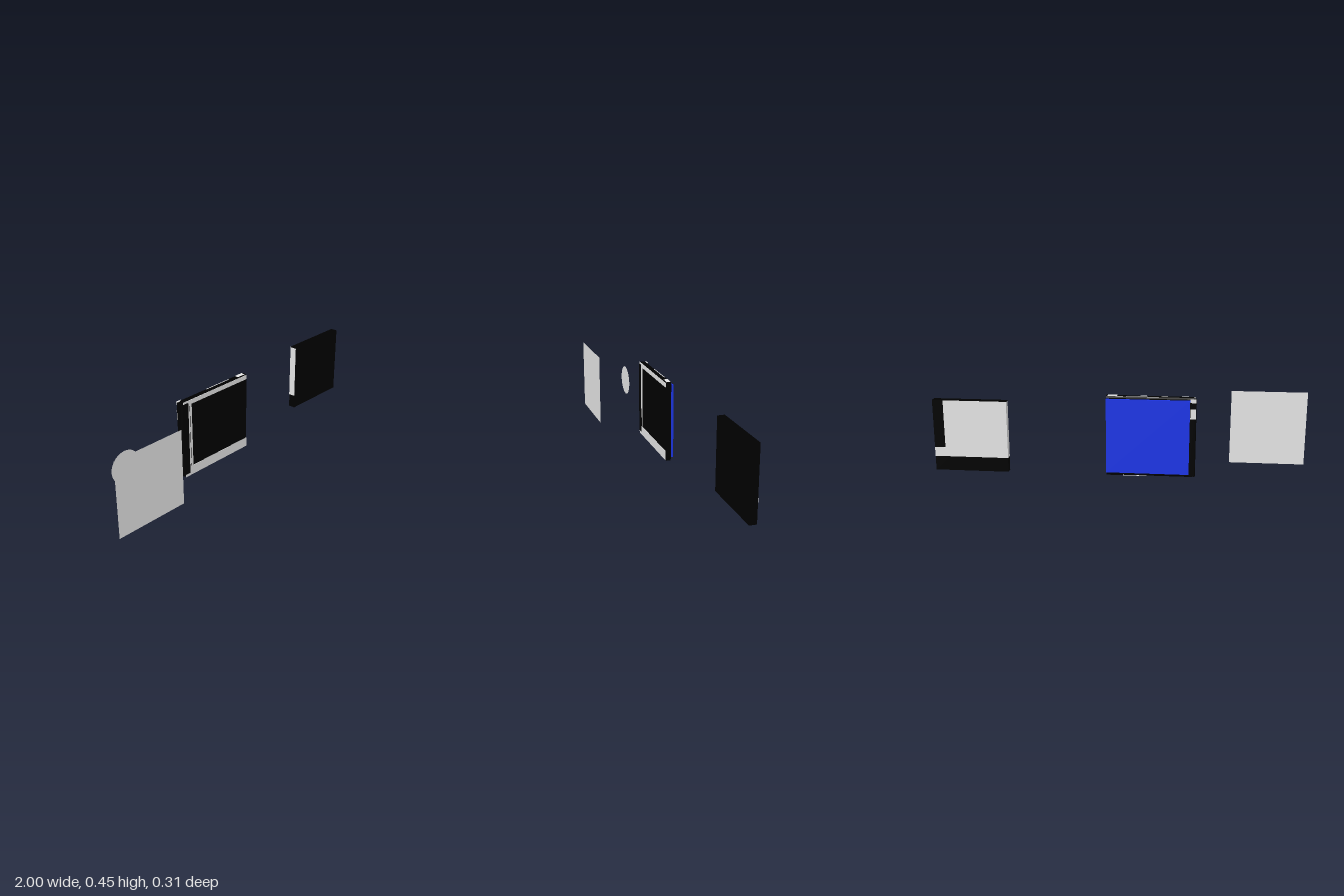
import * as THREE from 'three';

const mat = (name, color, side = THREE.FrontSide) => {
  const m = new THREE.MeshStandardMaterial({ color, side });
  m.name = name;
  return m;
};

export function createModel() {
  const group = new THREE.Group();
  const black = mat('black', 0x000000);
  const blue = mat('blue', 0x1c35e6);
  const grey = mat('light grey', 0xe5e5e5, THREE.DoubleSide);

  const add = (parent, name, geometry, material) => {
    const mesh = new THREE.Mesh(geometry, material);
    mesh.name = name;
    parent.add(mesh);
    return mesh;
  };
  // Box given by its limits on each axis
  const box = (parent, name, material, [x0, x1], [y0, y1], [z0, z1]) => {
    const g = new THREE.BoxGeometry(x1 - x0, y1 - y0, z1 - z0);
    g.translate((x0 + x1) / 2, (y0 + y1) / 2, (z0 + z1) / 2);
    return add(parent, name, g, material);
  };
  const outline = (points) => new THREE.Shape(points.map(([a, b]) => new THREE.Vector2(a, b)));
  const part = (name) => {
    const g = new THREE.Group();
    g.name = name;
    group.add(g);
    return g;
  };

  // Flat square sheet with a disc far behind it
  add(group, 'squareSheet', new THREE.PlaneGeometry(0.412, 0.412), grey).position.set(-0.794, 0.226, 0.155);
  add(group, 'disc', new THREE.CircleGeometry(0.087, 48), grey).position.set(-0.769, 0.225, -0.057);

  // Slim case: cross-section in y and z, run along x
  const device = part('slimCase');
  const section = outline([
    [0.036, 0.005], [0.042, 0.003], [0.065, 0.003], [0.068, 0.012],
    [0.068, 0.433], [0.065, 0.442], [0.042, 0.442], [0.036, 0.44],
  ]);
  const shell = new THREE.ExtrudeGeometry(section, { depth: 0.465, bevelEnabled: false });
  shell.rotateY(Math.PI / 2);
  shell.translate(-0.386, 0, 0);
  add(device, 'caseBody', shell, black);

  // Spine: rounded plan outline in x and z, run along y
  const spinePlan = outline([
    [-0.366, 0.0355], [-0.39, 0.0355], [-0.4, 0.047], [-0.4, 0.074], [-0.396, 0.08], [-0.366, 0.08],
  ]);
  const spine = new THREE.ExtrudeGeometry(spinePlan, { depth: 0.424, bevelEnabled: false });
  spine.rotateX(Math.PI / 2);
  spine.scale(1, 1, -1);
  // Restore the corner order after mirroring
  const corners = spine.attributes.position;
  for (let i = 0; i < corners.count; i += 3) {
    const a = new THREE.Vector3().fromBufferAttribute(corners, i + 1);
    const b = new THREE.Vector3().fromBufferAttribute(corners, i + 2);
    corners.setXYZ(i + 1, b.x, b.y, b.z);
    corners.setXYZ(i + 2, a.x, a.y, a.z);
  }
  spine.computeVertexNormals();
  spine.translate(0, 0.434, 0);
  add(device, 'spine', spine, black);
  box(device, 'backPanel', blue, [-0.366, 0.08], [0.019, 0.428], [-0.08, -0.067]);

  // Front frame strips
  const front = [-0.037, -0.0345];
  box(device, 'frameLower', grey, [-0.392, 0.079], [0.005, 0.058], front);
  box(device, 'frameUpper', grey, [-0.392, 0.079], [0.417, 0.441], front);
  box(device, 'frameInner', grey, [-0.36, -0.336], [0.058, 0.417], front);
  box(device, 'frontSpine', black, [-0.398, -0.36], [0.02, 0.43], [-0.038, -0.034]);
  box(device, 'spineGroove', black, [-0.351, -0.349], [0.058, 0.41], [-0.036, -0.034]);

  // Raised grips at the open end, with small grey inlays
  for (const y of [0, 0.441]) box(device, 'edgeGrip', black, [-0.03, 0.08], [y, y + 0.0035], [-0.064, -0.043]);
  box(device, 'topInlay', grey, [0.02, 0.072], [0.442, 0.4452], [-0.066, -0.043]);
  box(device, 'topRearInlay', grey, [-0.2, 0.02], [0.441, 0.4425], [-0.067, -0.062]);
  box(device, 'bottomInlay', grey, [-0.14, -0.01], [0, 0.003], [-0.066, -0.05]);
  box(device, 'spineLabel', grey, [-0.398, -0.368], [0.33, 0.385], [-0.0808, -0.079]);
  box(device, 'spineCap', grey, [-0.399, -0.367], [0.418, 0.436], [-0.0808, -0.07]);

  // Thick tile with a pale back and side
  const tile = part('tile');
  box(tile, 'tileBody', black, [0.601, 1], [0.03, 0.42], [-0.154, -0.115]);
  box(tile, 'tileBackPanel', grey, [0.6, 0.942], [0.108, 0.419], [-0.155, -0.153]);
  box(tile, 'tileBackNotch', grey, [0.942, 1], [0.108, 0.158], [-0.155, -0.153]);
  box(tile, 'tileSidePanel', grey, [0.6, 0.602], [0.108, 0.415], [-0.153, -0.116]);

  return group;
}
